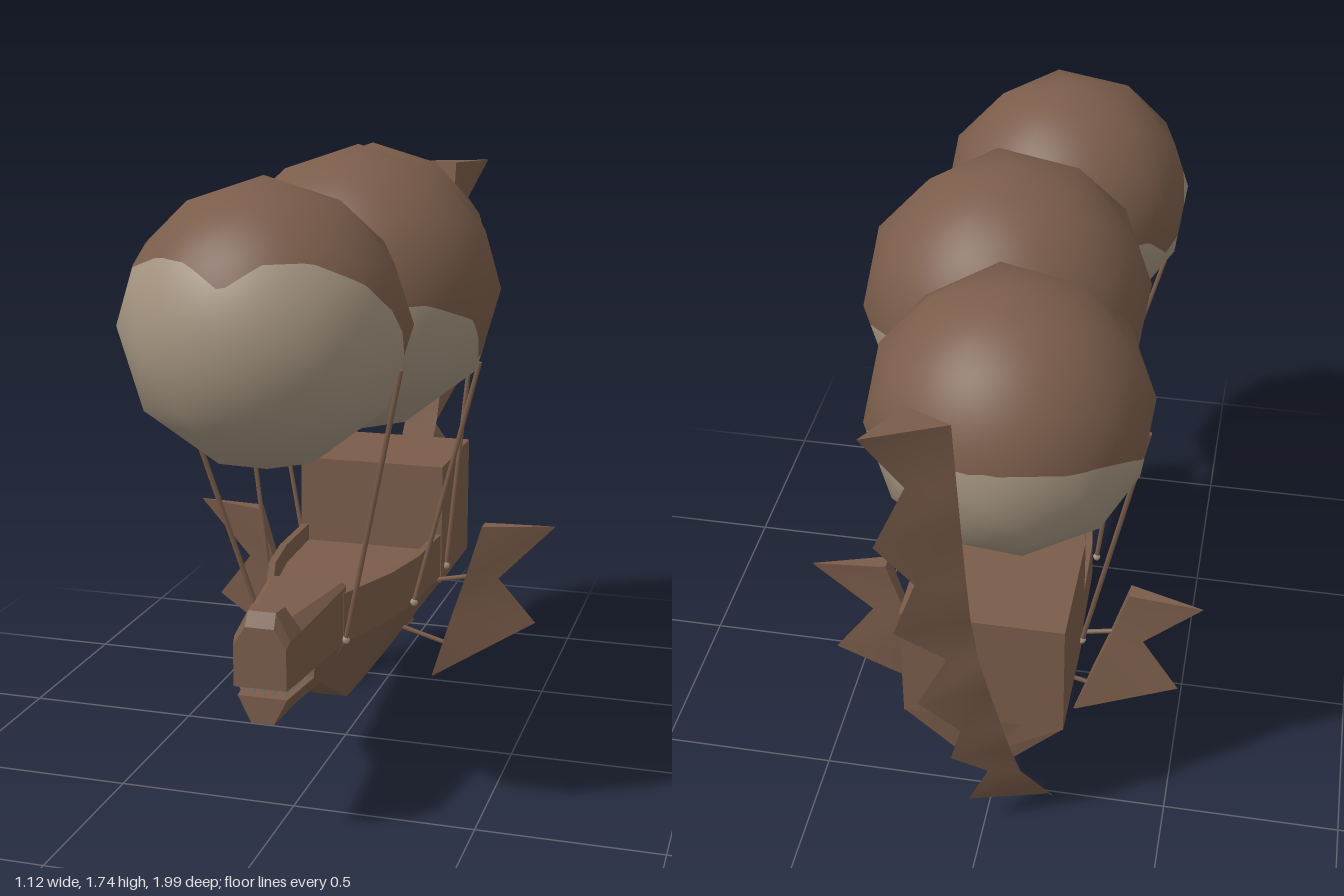
import * as THREE from 'three';
import { toCreasedNormals } from 'three/addons/utils/BufferGeometryUtils.js';

const mat = (name, color) => {
  const m = new THREE.MeshStandardMaterial({ color });
  m.name = name;
  return m;
};

// Piecewise linear lookup in [[key, value], ...]
function lookup(table, k) {
  for (let i = 1; i < table.length; i++) {
    const [a, va] = table[i - 1], [b, vb] = table[i];
    if (k <= b) return va + (vb - va) * Math.max(0, (k - a) / (b - a));
  }
  return table[table.length - 1][1];
}

// Skin closed rings of [x, y, z] points, cap both ends, faces outward
function loft(rings, crease = 0.2) {
  const n = rings[0].length, tris = [];
  const first = rings[0], last = rings[rings.length - 1];
  for (let i = 0; i + 1 < rings.length; i++) {
    for (let j = 0; j < n; j++) {
      const k = (j + 1) % n, p = rings[i], q = rings[i + 1];
      tris.push([p[j], p[k], q[k]], [p[j], q[k], q[j]]);
    }
  }
  for (let j = 1; j + 1 < n; j++) {
    tris.push([first[0], first[j + 1], first[j]], [last[0], last[j], last[j + 1]]);
  }
  let volume = 0;
  for (const t of tris) {
    const [a, b, c] = t.map((p) => new THREE.Vector3(...p));
    volume += a.dot(b.cross(c));
  }
  if (volume < 0) tris.forEach((t) => t.reverse());
  const g = new THREE.BufferGeometry();
  g.setAttribute('position', new THREE.Float32BufferAttribute(tris.flat(2), 3));
  return toCreasedNormals(g, crease);
}

// Faceted ball whose triangles are cut along a scalloped edge into two colours.
// edge(x, z) gives the height of the colour boundary.
function balloonGeometry(radius, edge) {
  const ico = new THREE.IcosahedronGeometry(radius, 1);
  ico.rotateZ(-Math.atan(2 / (1 + Math.sqrt(5))));
  const pos = ico.attributes.position, parts = [[], []], N = 6;
  const above = (p) => p.y - edge(p.x, p.z);
  const clip = (tri, sign, out) => {
    const poly = [];
    tri.forEach((p, i) => {
      const q = tri[(i + 1) % 3], dp = above(p) * sign, dq = above(q) * sign;
      if (dp >= 0) poly.push(p);
      if (dp * dq < 0) poly.push(p.clone().lerp(q, dp / (dp - dq)));
    });
    for (let i = 1; i + 1 < poly.length; i++) out.push(poly[0], poly[i], poly[i + 1]);
  };
  for (let t = 0; t < pos.count; t += 3) {
    const [a, b, c] = [0, 1, 2].map((i) => new THREE.Vector3().fromBufferAttribute(pos, t + i));
    const at = (i, j) => a.clone().addScaledVector(b.clone().sub(a), i / N).addScaledVector(c.clone().sub(a), j / N);
    for (let i = 0; i < N; i++) {
      for (let j = 0; j < N - i; j++) {
        const cells = [[at(i, j), at(i + 1, j), at(i, j + 1)]];
        if (i + j < N - 1) cells.push([at(i + 1, j), at(i + 1, j + 1), at(i, j + 1)]);
        for (const cell of cells) {
          clip(cell, 1, parts[0]);
          clip(cell, -1, parts[1]);
        }
      }
    }
  }
  const all = [...parts[0], ...parts[1]];
  const g = new THREE.BufferGeometry();
  g.setAttribute('position', new THREE.Float32BufferAttribute(all.flatMap((p) => p.toArray()), 3));
  g.setAttribute('normal', new THREE.Float32BufferAttribute(all.flatMap((p) => p.clone().normalize().toArray()), 3));
  g.addGroup(0, parts[0].length, 0);
  g.addGroup(parts[0].length, parts[1].length, 1);
  return g;
}

export function createModel() {
  const model = new THREE.Group();
  model.name = 'airship';
  const brown = mat('brown', 0x7a5c4a), pale = mat('pale', 0xa3937f);
  const add = (name, geometry, material = brown) => {
    const mesh = new THREE.Mesh(geometry, material);
    mesh.name = name;
    model.add(mesh);
    return mesh;
  };
  const rod = (name, from, to, r = 0.007) => {
    const a = new THREE.Vector3(...from), b = new THREE.Vector3(...to), d = b.clone().sub(a);
    const mesh = add(name, new THREE.CylinderGeometry(r, r, d.length(), 6));
    mesh.position.copy(a).add(b).multiplyScalar(0.5);
    mesh.quaternion.setFromUnitVectors(new THREE.Vector3(0, 1, 0), d.normalize());
  };

  // Balloons: centre, radius, boundary height by angle from the bow, rope ends
  const balloons = [
    { name: 'frontBalloon', c: [-0.02, 1.34, 0.63], r: 0.365, rope: [0.31, 1.22, 0.5, 0.115, 0.39],
      edge: [[0, 0.13], [0.12, 0.155], [0.3, 0.19], [0.7, 0.19], [1.15, 0.13], [1.48, 0.03], [1.9, -0.11], [2.25, -0.01], [3.15, 0.06]] },
    { name: 'middleBalloon', c: [0.05, 1.345, 0.05], r: 0.395, rope: [0.345, 1.16, 0.05, 0.215, 0.04],
      edge: [[0, 0.02], [0.77, 0.01], [1.2, -0.045], [1.4, -0.11], [1.57, -0.19], [1.74, -0.11], [1.94, -0.045], [2.37, 0.01], [3.15, 0.02]] },
    { name: 'backBalloon', c: [-0.05, 1.34, -0.46], r: 0.367, rope: [0.34, 1.26, -0.39, 0.225, -0.32],
      edge: [[0, 0.03], [1, -0.02], [1.38, -0.08], [1.7, -0.06], [2.0, 0], [2.4, 0.045], [3.15, 0.065]] },
  ];
  for (const { name, c, r, rope, edge } of balloons) {
    const boundary = (x, z) => lookup(edge, Math.abs(Math.atan2(x, z)));
    add(name, balloonGeometry(r, boundary), [brown, pale]).position.set(...c);
    const [tx, ty, tz, bx, bz] = rope;
    for (const s of [-1, 1]) {
      rod('rope', [c[0] + s * tx, ty, tz], [s * bx, 0.45, bz]);
      add('ropePeg', new THREE.SphereGeometry(0.012, 6, 4), pale).position.set(s * bx, 0.45, bz);
    }
  }

  // Hull: z, half width and height of rail, chine and keel, keel z shift
  const hull = [
    [0.39, 0.11, 0.58, 0.11, 0.44, 0.04, 0.32, 0],
    [0.16, 0.18, 0.572, 0.185, 0.44, 0.05, 0.19, 0],
    [-0.03, 0.21, 0.565, 0.212, 0.44, 0.05, 0.18, 0],
    [-0.27, 0.218, 0.56, 0.218, 0.43, 0.05, 0.175, 0],
    [-0.43, 0.218, 0.56, 0.218, 0.41, 0.05, 0.18, 0],
    [-0.635, 0.218, 0.56, 0.218, 0.41, 0.05, 0.21, 0.035],
  ].map(([z, t, ty, m, my, b, by, dz]) => {
    const half = [[b, by, z + dz], [m, my, z], [t, ty, z], [t - 0.02, ty, z], [t - 0.02, 0.51, z]];
    return [...half, ...half.map(([x, y, w]) => [-x, y, w]).reverse()];
  });
  add('hull', loft(hull));
  add('sternCabin', new THREE.BoxGeometry(0.442, 0.36, 0.366)).position.set(0, 0.59, -0.453);

  // Beast figurehead: z, half width, height, width ratio of the crown, crown chamfer
  add('upperHead', loft([
    [0.37, 0.11, 0.605, 0.9, 0.01], [0.67, 0.082, 0.6, 0.6, 0.03], [0.69, 0.08, 0.637, 0.55, 0.07],
    [0.74, 0.074, 0.637, 0.5, 0.07], [0.762, 0.07, 0.6, 0.55, 0.05],
  ].map(([z, h, y, k, d]) => [
    [-h, 0.44, z], [h, 0.44, z], [h, y - d, z], [h * k, y, z], [-h * k, y, z], [-h, y - d, z],
  ])));
  add('lowerJaw', loft([
    [0.37, 0.11, 0.44, 0.045, 0.32], [0.575, 0.085, 0.44, 0.035, 0.335],
    [0.58, 0.084, 0.41, 0.035, 0.335], [0.745, 0.066, 0.41, 0.03, 0.338],
  ].map(([z, t, ty, b, by]) => [[-t, ty, z], [t, ty, z], [b, by, z], [-b, by, z]])));
  const tooth = new THREE.ConeGeometry(0.016, 0.038, 4).rotateX(Math.PI);
  const toothAt = (x, z) => add('tooth', tooth, pale).position.set(x, 0.424, z);
  for (const s of [-1, 1]) {
    for (const z of [0.61, 0.65, 0.69, 0.73]) toothAt(s * (0.07 - (z - 0.61) * 0.1), z);
  }
  for (const x of [-0.028, 0, 0.028]) toothAt(x, 0.735);

  // Side sails: height, inner x, outer x, half thickness
  for (const s of [-1, 1]) {
    const rows = [[0.11, 0.198, 0.203, 0.003], [0.295, 0.255, 0.505, 0.018], [0.435, 0.3, 0.395, 0.02], [0.605, 0.35, 0.56, 0.024]];
    add('sideSail', loft(rows.map(([y, a, b, t]) => [
      [s * a, y, -0.262 + t], [s * b, y, -0.265 - 0.19 * (b - a)], [s * a, y, -0.262 - t],
    ]), 0.9));
    rod('sailBoom', [s * 0.18, 0.415, -0.26], [s * 0.31, 0.442, -0.26]);
    rod('sailBoom', [s * 0.08, 0.267, -0.26], [s * 0.25, 0.22, -0.26]);
  }

  // Tall stern sail with a zigzag trailing edge
  const leadZ = [[0, -0.5], [0.16, -0.566], [0.3, -0.635], [0.67, -0.725], [1.03, -0.8], [1.35, -0.835], [1.63, -0.86]];
  const leadX = [[0, -0.18], [0.2, -0.115], [0.85, -0.02], [1.63, 0]];
  const trail = [
    [0, -0.51], [0.13, -0.68], [0.25, -0.675], [0.385, -0.765], [0.49, -0.76], [0.67, -0.85], [0.8, -0.81],
    [0.97, -0.915], [1.12, -0.895], [1.285, -0.965], [1.44, -0.925], [1.62, -0.997],
  ];
  add('sternSail', loft(trail.map(([y, tz]) => {
    const z = lookup(leadZ, y), x = lookup(leadX, y), w = Math.min(1, 0.35 + y * 2.5);
    return [[x, y, z - 0.05 * w], [x + 0.115 * w, y, z], [x + 1.38 * (z - tz), y, tz]];
  }), 0.9));
  rod('sternBoom', [0, 0.3, -0.58], [-0.03, 0.33, -0.68]);
  rod('sternBoom', [0.02, 1.3, -0.78], [0.06, 1.3, -0.88]);

  return model;
}
